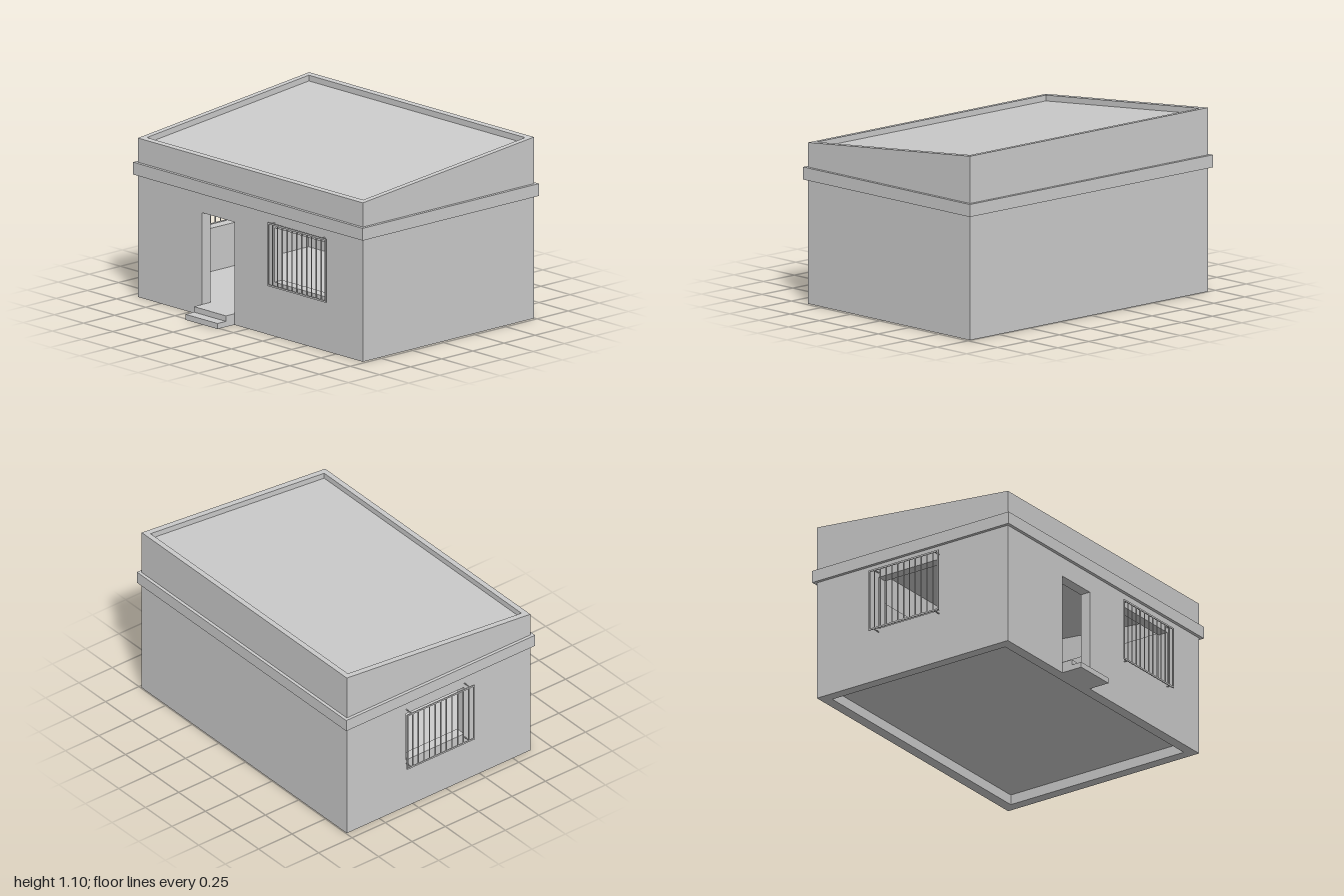
import * as THREE from 'three';

const mat = new THREE.MeshStandardMaterial({ color: 0xcccccc, flatShading: true });
// Outer limits of the house, wall thickness
const X0 = -0.945, X1 = 0.98, Z0 = -0.745, Z1 = 0.63, T = 0.065;
const CX = (X0 + X1) / 2, CZ = (Z0 + Z1) / 2;
const BAND0 = 0.745, BAND1 = 0.82, FLOOR = 0.067;
// Sloping top of the parapet
const topAt = z => THREE.MathUtils.mapLinear(z, Z0, Z1, 1.103, 0.967);

function add(parent, name, geo) {
  const mesh = new THREE.Mesh(geo, mat);
  mesh.name = name;
  parent.add(mesh);
  return mesh;
}

// Box given by its limits
function block(x0, x1, y0, y1, z0, z1) {
  return new THREE.BoxGeometry(x1 - x0, y1 - y0, z1 - z0)
    .translate((x0 + x1) / 2, (y0 + y1) / 2, (z0 + z1) / 2);
}

function rect(path, a0, a1, b0, b1) {
  path.moveTo(a0, b0);
  path.lineTo(a1, b0);
  path.lineTo(a1, b1);
  path.lineTo(a0, b1);
  path.closePath();
  return path;
}

// Wall of thickness T with rectangular openings, extruded along +z
function wall(u0, u1, h, openings) {
  const shape = rect(new THREE.Shape(), u0, u1, 0, h);
  openings.forEach(o => shape.holes.push(rect(new THREE.Path(), ...o)));
  return new THREE.ExtrudeGeometry(shape, { depth: T, bevelEnabled: false });
}

// Rectangular ring around the house: grown outwards by out, inset by inner
function ring(out, inner, y0, y1) {
  const shape = rect(new THREE.Shape(), X0 - out, X1 + out, -Z1 - out, -Z0 + out);
  shape.holes.push(rect(new THREE.Path(), X0 + inner, X1 - inner, -Z1 + inner, -Z0 - inner));
  return new THREE.ExtrudeGeometry(shape, { depth: y1 - y0, bevelEnabled: false })
    .rotateX(-Math.PI / 2).translate(0, y0, 0);
}

// Set each vertex height by a rule of (y, z)
function reshape(geo, rule) {
  const p = geo.attributes.position;
  for (let i = 0; i < p.count; i++) p.setY(i, rule(p.getY(i), p.getZ(i)));
  geo.computeVertexNormals();
  return geo;
}

// Barred window guard standing off the wall plane z = 0
function windowGuard(u0, u1, y0, y1, off) {
  const g = new THREE.Group();
  const f = 0.01, b = 0.005, d = 0.006;
  const z0 = off - d;
  for (const u of [u0, u1 - f]) add(g, 'guardFrameSide', block(u, u + f, y0, y1, z0, off));
  for (const y of [y0, y1 - f]) add(g, 'guardFrameRail', block(u0 + f, u1 - f, y, y + f, z0, off));
  const bays = 12;
  for (let i = 1; i < bays; i++) {
    const u = u0 + (u1 - u0) * i / bays;
    add(g, 'guardBar', block(u - b / 2, u + b / 2, y0 + f, y1 - f, z0, off));
  }
  // Short pins back to the wall
  for (const u of [u0 + 0.035, u1 - 0.035])
    for (const y of [y0, y1 - b]) add(g, 'guardPin', block(u - b / 2, u + b / 2, y, y + b, 0, z0));
  return g;
}

export function createModel() {
  const house = new THREE.Group();
  house.name = 'house';

  // Walls
  const door = [-0.395, -0.12, FLOOR, 0.625];
  const frontWindow = [0.225, 0.66, 0.33, 0.66];
  const sideWindow = [-0.3, 0.135, 0.33, 0.66];
  add(house, 'frontWall', wall(X0, X1, BAND1, [door, frontWindow])).position.z = Z1 - T;
  add(house, 'backWall', block(X0, X1, 0, BAND1, Z0, Z0 + T));
  add(house, 'leftWall', block(X1 - T, X1, 0, BAND1, Z0 + T, Z1 - T));
  const rightWall = add(house, 'rightWall', wall(Z0 + T, Z1 - T, BAND1, [sideWindow]));
  rightWall.rotation.y = -Math.PI / 2;
  rightWall.position.x = X0 + T;

  // Floor raised inside the walls
  add(house, 'floor', block(X0 + T, X1 - T, FLOOR - 0.005, FLOOR, Z0 + T, Z1 - T));

  // Band round the walls, sloping parapet and roof
  add(house, 'band', ring(0.02, 0.02, BAND0, BAND1));
  add(house, 'parapet', reshape(ring(0, 0.037, BAND1, 1), (y, z) => (y > 0.9 ? topAt(z) : y)));
  const roof = new THREE.BoxGeometry(X1 - X0 - 0.074, 0.04, Z1 - Z0 - 0.074).translate(CX, 0, CZ);
  add(house, 'roof', reshape(roof, (y, z) => topAt(z) - 0.055 + y));

  // Door steps
  add(house, 'upperStep', block(-0.395, -0.12, 0, FLOOR, Z1, 0.697));
  add(house, 'lowerStep', block(-0.395, -0.12, 0, FLOOR / 2, 0.697, 0.765));

  // Window guards
  const frontGuard = windowGuard(0.19, 0.69, 0.305, 0.692, 0.026);
  frontGuard.name = 'frontWindowGuard';
  frontGuard.position.z = Z1;
  const sideGuard = windowGuard(-0.335, 0.17, 0.305, 0.692, 0.055);
  sideGuard.name = 'sideWindowGuard';
  sideGuard.rotation.y = -Math.PI / 2;
  sideGuard.position.x = X0;
  house.add(frontGuard, sideGuard);

  return house;
}
